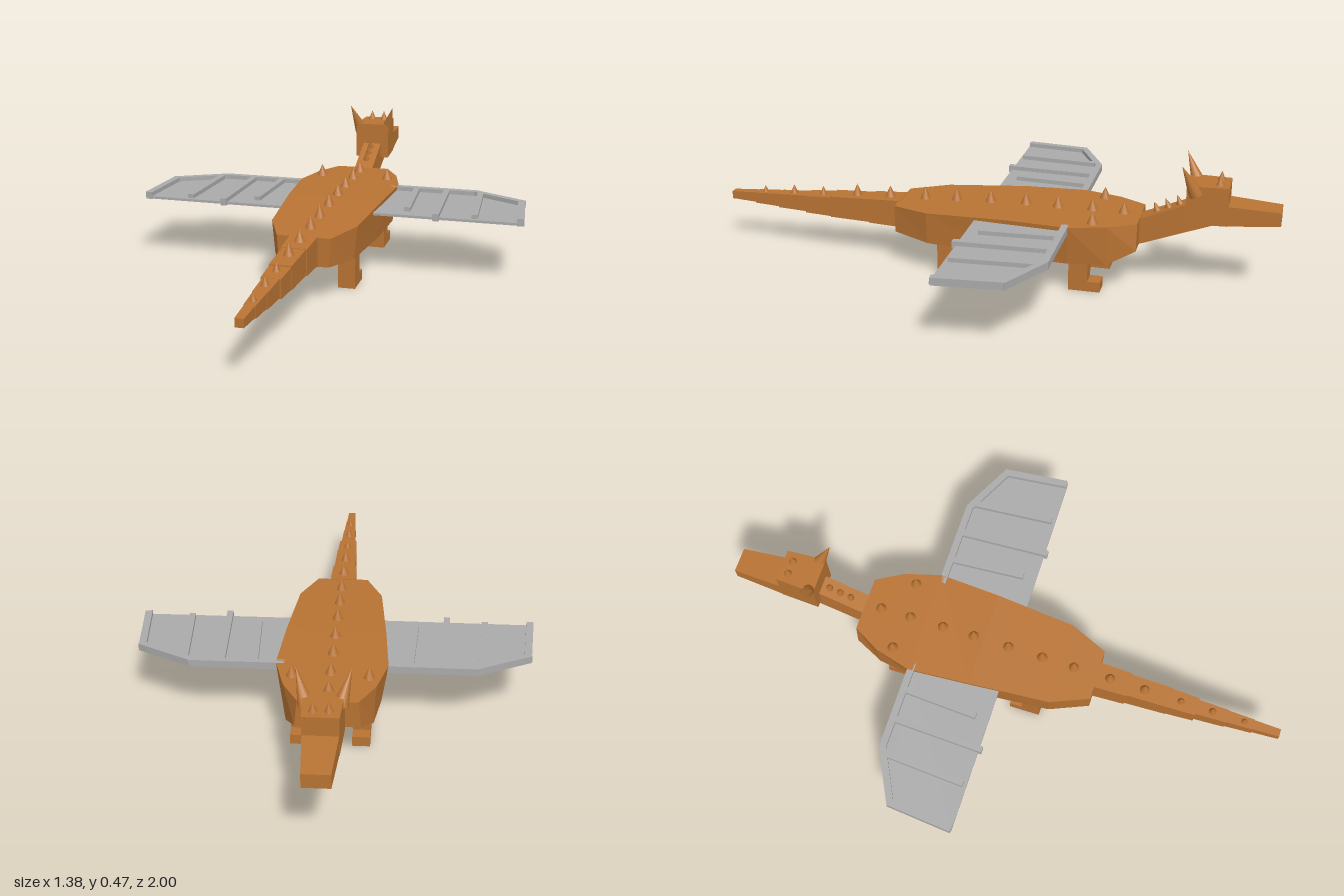
import * as THREE from 'three';

const hide = new THREE.MeshStandardMaterial({ color: 0xb87333 });
hide.name = 'copper hide';
const wingGrey = new THREE.MeshStandardMaterial({ color: 0xaaaaaa });
wingGrey.name = 'wing grey';

// Faceted loft through four-cornered sections [z, topHalfWidth, bottomHalfWidth, topY, bottomY], z rising
function loft(sections) {
  const rings = sections.map(([z, wt, wb, yt, yb]) => [[-wb, yb, z], [wb, yb, z], [wt, yt, z], [-wt, yt, z]]);
  const pos = [];
  const quad = (a, b, c, d) => pos.push(...a, ...b, ...c, ...a, ...c, ...d);
  for (let i = 0; i + 1 < rings.length; i++) {
    const a = rings[i], b = rings[i + 1];
    for (let k = 0; k < 4; k++) quad(a[k], a[(k + 1) % 4], b[(k + 1) % 4], b[k]);
  }
  quad(...[...rings[0]].reverse());
  quad(...rings[rings.length - 1]);
  const g = new THREE.BufferGeometry();
  g.setAttribute('position', new THREE.Float32BufferAttribute(pos, 3));
  g.computeVertexNormals();
  return g;
}

export function createModel() {
  const model = new THREE.Group();
  model.name = 'dragon';
  const add = (name, geometry, material = hide, parent = model) => {
    const m = new THREE.Mesh(geometry, material);
    m.name = name;
    parent.add(m);
    return m;
  };
  const box = (name, x, y, z, w, h, d, material, parent) => {
    const m = add(name, new THREE.BoxGeometry(w, h, d), material, parent);
    m.position.set(x, y, z);
    return m;
  };
  // Cone from a base centre to a tip
  const spike = (name, base, tip, radius) => {
    const a = new THREE.Vector3(...base), dir = new THREE.Vector3(...tip).sub(a);
    const len = dir.length();
    const m = add(name, new THREE.ConeGeometry(radius, len, 12));
    m.position.copy(a).addScaledVector(dir, 0.5);
    m.quaternion.setFromUnitVectors(new THREE.Vector3(0, 1, 0), dir.normalize());
  };

  // Body
  add('body', loft([
    [-0.53, 0.098, 0.108, 0.25, 0.155],
    [-0.435, 0.152, 0.145, 0.25, 0.11],
    [-0.305, 0.188, 0.166, 0.25, 0.11],
    [-0.085, 0.174, 0.158, 0.25, 0.11],
    [0.2, 0.15, 0.14, 0.237, 0.122],
    [0.335, 0.092, 0.086, 0.23, 0.13],
  ]));

  // Tail of stepped, tapering blocks: start, end, half width, top, bottom
  [[0.33, 0.45, 0.047, 0.232, 0.132], [0.45, 0.6, 0.04, 0.225, 0.137], [0.6, 0.7, 0.036, 0.216, 0.143],
    [0.7, 0.81, 0.027, 0.21, 0.149], [0.81, 0.905, 0.022, 0.205, 0.156], [0.905, 1, 0.017, 0.2, 0.163],
  ].forEach(([z0, z1, w, t, b], i) => add('tailSegment' + (i + 1),
    loft([[z0, w, w, t, b], [z1, w - 0.003, w - 0.003, t - 0.005, b + 0.004]])));

  // Neck, skull and snout
  add('neck', loft([[-0.8, 0.035, 0.035, 0.36, 0.256], [-0.52, 0.035, 0.035, 0.243, 0.15]]));
  add('skull', loft([[-0.825, 0.057, 0.057, 0.39, 0.256], [-0.685, 0.065, 0.065, 0.39, 0.256]]));
  add('snout', loft([[-1, 0.044, 0.044, 0.316, 0.268], [-0.82, 0.056, 0.056, 0.326, 0.256]]));

  // Spikes along the back and tail: z, base y, tip y, radius
  [[-0.47, 0.248, 0.292, 0.02], [-0.36, 0.248, 0.292, 0.02], [-0.238, 0.248, 0.292, 0.02], [-0.123, 0.248, 0.292, 0.02],
    [0.005, 0.243, 0.292, 0.02], [0.13, 0.237, 0.288, 0.02], [0.247, 0.231, 0.28, 0.02], [0.38, 0.227, 0.27, 0.02],
    [0.507, 0.218, 0.266, 0.02], [0.64, 0.21, 0.245, 0.015], [0.755, 0.205, 0.24, 0.015], [0.87, 0.199, 0.227, 0.012],
  ].forEach(([z, y0, y1, r]) => spike('backSpike', [0, y0, z], [0, y1, z], r));

  // Neck spikes stand square to the slope
  for (const z of [-0.58, -0.618, -0.656]) {
    const y = 0.243 + (-0.52 - z) * 0.418;
    spike('neckSpike', [0, y - 0.003, z - 0.006], [0, y + 0.033, z + 0.008], 0.015);
  }

  for (const s of [-1, 1]) {
    const side = s > 0 ? 'left' : 'right';
    spike(side + 'ShoulderSpike', [s * 0.127, 0.248, -0.382], [s * 0.127, 0.292, -0.382], 0.02);
    spike(side + 'BrowSpike', [s * 0.024, 0.388, -0.792], [s * 0.024, 0.424, -0.792], 0.015);
    spike(side + 'Horn', [s * 0.052, 0.36, -0.715], [s * 0.085, 0.465, -0.668], 0.026);

    // Legs with feet pointing toward the head
    for (const [name, z] of [['FrontLeg', -0.338], ['HindLeg', 0.132]]) {
      box(side + name, s * 0.104, 0.06, z, 0.06, 0.12, 0.066);
      box(side + name + 'Foot', s * 0.104, 0.018, z - 0.022, 0.06, 0.036, 0.11);
    }

    // Wing: thin membrane with raised spars
    const wing = new THREE.Group();
    wing.name = side + 'Wing';
    model.add(wing);
    const outline = [[0.16, -0.305], [0.48, -0.305], [0.662, -0.21], [0.685, 0.02], [0.16, 0.022]];
    const shape = new THREE.Shape(outline.map(([x, z]) => new THREE.Vector2(s * x, -z)));
    const membrane = add('membrane', new THREE.ExtrudeGeometry(shape, { depth: 0.009, bevelEnabled: false }), wingGrey, wing);
    membrane.rotation.x = -Math.PI / 2;
    membrane.position.y = 0.226;
    const spar = (name, [x0, z0], [x1, z1], width) => {
      const m = box(name, s * (x0 + x1) / 2, 0.237, (z0 + z1) / 2,
        width, 0.026, Math.hypot(x1 - x0, z1 - z0), wingGrey, wing);
      m.rotation.y = Math.atan2(s * (x1 - x0), z1 - z0);
    };
    spar('leadingSpar', [0.16, -0.296], [0.482, -0.296], 0.024);
    spar('outerSpar', [0.476, -0.297], [0.664, -0.203], 0.024);
    spar('tipSpar', [0.655, -0.212], [0.677, 0.018], 0.025);
    spar('rib', [0.26, -0.29], [0.276, -0.025], 0.022);
    spar('rib', [0.372, -0.29], [0.386, 0.033], 0.022);
    spar('rib', [0.498, -0.28], [0.518, 0.008], 0.022);
  }
  return model;
}
